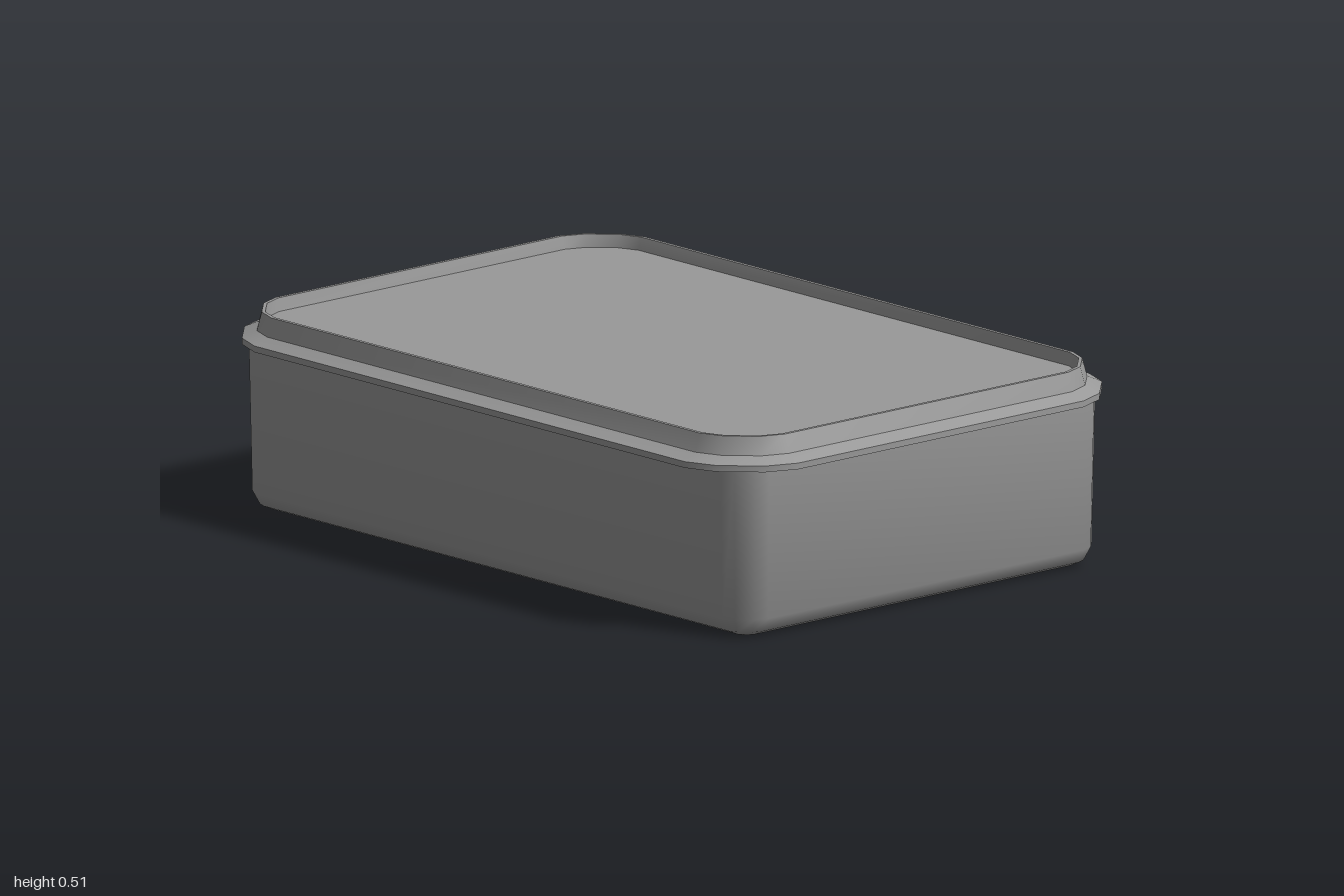
import * as THREE from 'three';
import { toCreasedNormals } from 'three/addons/utils/BufferGeometryUtils.js';

// One slightly flattened corner, as fractions of its radius
const CORNER = [[1, 0], [0.84, 0.41], [0.41, 0.84], [0, 1]];

// Rounded rectangle outline at height y: half width hx, half depth hz, corner radius r
function ring([hx, hz, r, y]) {
  const points = [];
  const signs = [[1, 1], [-1, 1], [-1, -1], [1, -1]];
  signs.forEach(([sx, sz], q) => {
    const corner = q % 2 ? [...CORNER].reverse() : CORNER;
    for (const [u, v] of corner) {
      points.push([sx * (hx - r + r * u), y, sz * (hz - r + r * v)]);
    }
  });
  return points;
}

// Skin a series of outlines, closing the first and last with flat caps
function loft(sections, crease) {
  const rings = sections.map(ring);
  const n = rings[0].length;
  const last = rings.length - 1;
  const bottom = [0, sections[0][3], 0];
  const top = [0, sections[last][3], 0];
  const pos = [];
  for (let i = 0; i < n; i++) {
    const j = (i + 1) % n;
    pos.push(...bottom, ...rings[0][i], ...rings[0][j]);
    for (let k = 0; k < last; k++) {
      const [a, b, c, d] = [rings[k][i], rings[k][j], rings[k + 1][i], rings[k + 1][j]];
      pos.push(...a, ...c, ...b, ...b, ...c, ...d);
    }
    pos.push(...top, ...rings[last][j], ...rings[last][i]);
  }
  const geometry = new THREE.BufferGeometry();
  geometry.setAttribute('position', new THREE.Float32BufferAttribute(pos, 3));
  return toCreasedNormals(geometry, crease);
}

export function createModel() {
  const group = new THREE.Group();
  group.name = 'lunchBox';
  const material = new THREE.MeshStandardMaterial({ color: 0x999999 });

  const add = (name, geometry) => {
    const mesh = new THREE.Mesh(geometry, material);
    mesh.name = name;
    group.add(mesh);
  };

  // Tub: flat base with rounded edge, slightly flared walls, hollow inside
  const tub = [
    [0.875, 0.54, 0.025, 0],
    [0.893, 0.558, 0.03, 0],
    [0.924, 0.59, 0.06, 0.014],
    [0.945, 0.61, 0.08, 0.05],
    [0.953, 0.618, 0.085, 0.445],
    [0.93, 0.595, 0.065, 0.445],
    [0.92, 0.585, 0.06, 0.04],
  ];
  add('tub', loft(tub, 0.8));

  // Lid: hollow below, with a flange, a raised rim and a recessed panel
  const lid = [
    [0.925, 0.605, 0.125, 0.465], // underside of the panel
    [0.955, 0.632, 0.155, 0.435], // flange underside
    [1.0, 0.678, 0.2, 0.435],
    [1.0, 0.678, 0.2, 0.451], // flange lip
    [0.961, 0.639, 0.165, 0.468], // sloped shoulder
    [0.947, 0.625, 0.15, 0.515], // raised rim
    [0.937, 0.615, 0.14, 0.515],
    [0.93, 0.608, 0.13, 0.482], // recessed panel
  ];
  add('lid', loft(lid, 0.5));

  return group;
}
